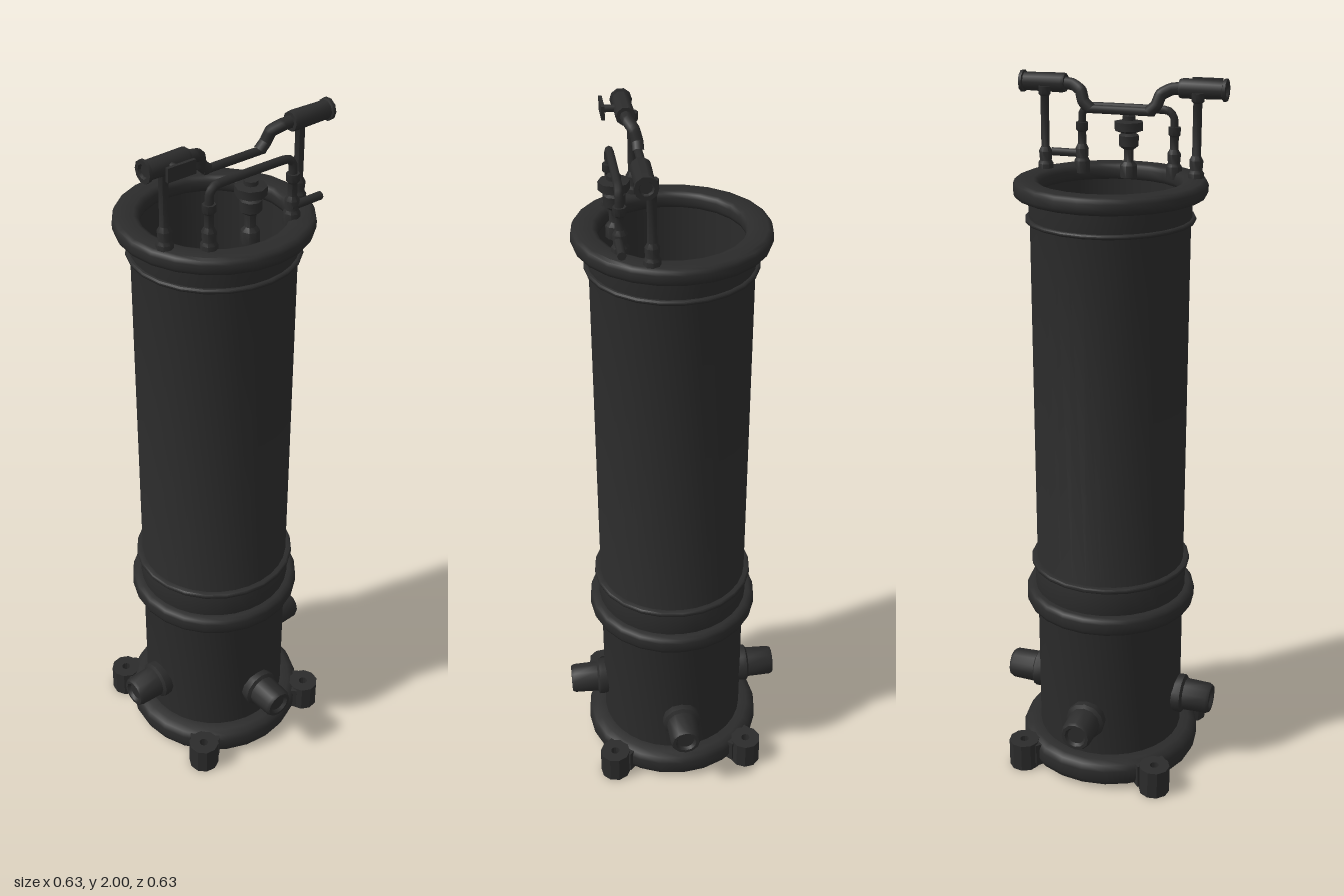
import * as THREE from 'three';
import { toCreasedNormals } from 'three/addons/utils/BufferGeometryUtils.js';

const V = (x, y, z) => new THREE.Vector3(x, y, z);

export function createModel() {
  const group = new THREE.Group();
  const iron = new THREE.MeshStandardMaterial({ color: 0x2b2b2b });
  iron.name = 'darkIron';

  function add(name, geometry, parent = group) {
    const mesh = new THREE.Mesh(geometry, iron);
    mesh.name = name;
    parent.add(mesh);
    return mesh;
  }
  // Turned part from [radius, height] pairs
  function turned(name, pts, sides, parent = group) {
    const g = new THREE.LatheGeometry(pts.map(p => new THREE.Vector2(p[0], p[1])), sides);
    return add(name, toCreasedNormals(g, 0.8), parent);
  }
  // Round pipe along a path, with closed ends
  function pipe(name, points, r, parent = group) {
    const curve = new THREE.CatmullRomCurve3(points, false, 'catmullrom', 0.2);
    return add(name, new THREE.TubeGeometry(curve, points.length * 5, r, 8, false), parent);
  }
  // Ring with a rounded rectangular section
  function ring(name, inner, outer, y0, y1, bevel) {
    const b = bevel, k = bevel * 0.3;
    return turned(name, [
      [inner, y0 + b], [inner, y1 - b], [inner + k, y1 - k], [inner + b, y1], [outer - b, y1],
      [outer - k, y1 - k], [outer, y1 - b], [outer, y0 + b], [outer - k, y0 + k],
      [outer - b, y0], [inner + b, y0], [inner + k, y0 + k], [inner, y0 + b],
    ].reverse(), 24);
  }

  // Hollow barrel, with shallow steps near both collars
  turned('barrel', [
    [0.19, 0.04], [0.213, 0.04], [0.213, 0.53], [0.219, 0.56], [0.219, 0.63], [0.213, 0.645],
    [0.213, 1.63], [0.216, 1.65], [0.216, 1.72], [0.193, 1.72], [0.19, 0.04],
  ], 32);
  ring('baseRing', 0.178, 0.265, 0.008, 0.088, 0.025);
  ring('middleCollar', 0.2, 0.246, 0.505, 0.56, 0.015);
  ring('topRim', 0.187, 0.256, 1.7, 1.745, 0.014);
  ring('lowerBead', 0.205, 0.23, 0.633, 0.647, 0.004);
  ring('upperBead', 0.205, 0.226, 1.635, 1.647, 0.004);

  // Drilled bolt lugs on the diagonals of the base
  const lugShape = new THREE.Shape();
  for (let i = 0; i < 10; i++) {
    const a = Math.PI * 2 * (i + 0.5) / 10;
    lugShape[i ? 'lineTo' : 'moveTo'](0.045 * Math.cos(a), 0.045 * Math.sin(a));
  }
  lugShape.closePath();
  lugShape.holes.push(new THREE.Path().absarc(0, 0, 0.013, 0, Math.PI * 2, true));
  const lugGeo = new THREE.ExtrudeGeometry(lugShape, { depth: 0.085, bevelEnabled: false, curveSegments: 6 });
  lugGeo.rotateX(-Math.PI / 2);
  for (let i = 0; i < 4; i++) {
    const a = Math.PI / 4 + i * Math.PI / 2;
    const lug = new THREE.Group();
    lug.name = 'baseLug';
    lug.rotation.y = a;
    add('lugEye', lugGeo, lug).position.set(0.288, 0, 0);
    add('lugNeck', new THREE.BoxGeometry(0.04, 0.07, 0.09), lug).position.set(0.25, 0.045, 0);
    group.add(lug);
  }

  // Four side ports with collars and recessed ends
  for (let i = 0; i < 4; i++) {
    const port = turned('sidePort', [
      [0.053, 0.19], [0.057, 0.222], [0.057, 0.232], [0.047, 0.238],
      [0.045, 0.308], [0.04, 0.317], [0.031, 0.317], [0.025, 0.308], [0, 0.308],
    ], 12);
    port.position.y = 0.21;
    port.rotation.set(0, i * Math.PI / 2, -Math.PI / 2);
  }

  // Upright with a bulged foot
  function post(name, x, z, top) {
    const p = turned(name, [
      [0.022, 1.725], [0.022, 1.757], [0.017, 1.765], [0.019, 1.79], [0.012, 1.802],
      [0.012, top - 0.025], [0.017, top - 0.02], [0.017, top], [0, top],
    ], 8);
    p.position.set(x, 0, z);
  }

  // Control handles: grips, uprights and the cranked linking rod
  for (const s of [-1, 1]) {
    const grip = turned('grip', [
      [0, 0.157], [0.024, 0.157], [0.026, 0.165], [0.024, 0.272], [0.029, 0.274],
      [0.029, 0.282], [0.018, 0.282], [0.015, 0.275], [0, 0.275],
    ], 10);
    grip.position.set(0, 1.968, 0.095);
    grip.rotation.z = -s * Math.PI / 2;
    post('gripPost', s * 0.21, 0.075, 1.96);
    pipe('crankArm', [
      V(s * 0.165, 1.968, 0.095), V(s * 0.135, 1.965, 0.092), V(s * 0.11, 1.952, 0.08),
      V(s * 0.1, 1.925, 0.073), V(s * 0.08, 1.907, 0.073),
    ], 0.016);
    post('frontPost', s * 0.13, 0.143, 1.86);
  }
  const rod = add('linkRod', new THREE.CylinderGeometry(0.011, 0.011, 0.19, 8));
  rod.rotation.z = Math.PI / 2;
  rod.position.set(0, 1.907, 0.073);

  // Front pipe arched between the front posts
  pipe('frontPipe', [
    V(-0.13, 1.85, 0.143), V(-0.128, 1.885, 0.143), V(-0.105, 1.903, 0.143),
    V(0.105, 1.903, 0.143), V(0.128, 1.885, 0.143), V(0.13, 1.85, 0.143),
  ], 0.011);

  // Small levers beside the grips
  add('leverPlate', new THREE.BoxGeometry(0.08, 0.035, 0.009)).position.set(-0.215, 1.972, 0.15);
  pipe('leverPin', [V(-0.215, 1.97, 0.1), V(-0.215, 1.97, 0.15)], 0.01);
  const sideRod = add('sideRod', new THREE.CylinderGeometry(0.011, 0.011, 0.1, 8));
  sideRod.rotation.z = Math.PI / 2;
  sideRod.position.set(0.17, 1.775, 0.148);

  // Central valve knob
  const valve = turned('valve', [
    [0, 1.72], [0.024, 1.72], [0.024, 1.752], [0.014, 1.762], [0.014, 1.795], [0.028, 1.805],
    [0.028, 1.832], [0.018, 1.838], [0.04, 1.846], [0.04, 1.868], [0.018, 1.872], [0.018, 1.883], [0, 1.883],
  ], 8);
  valve.position.set(-0.003, 0, 0.143);

  return group;
}
